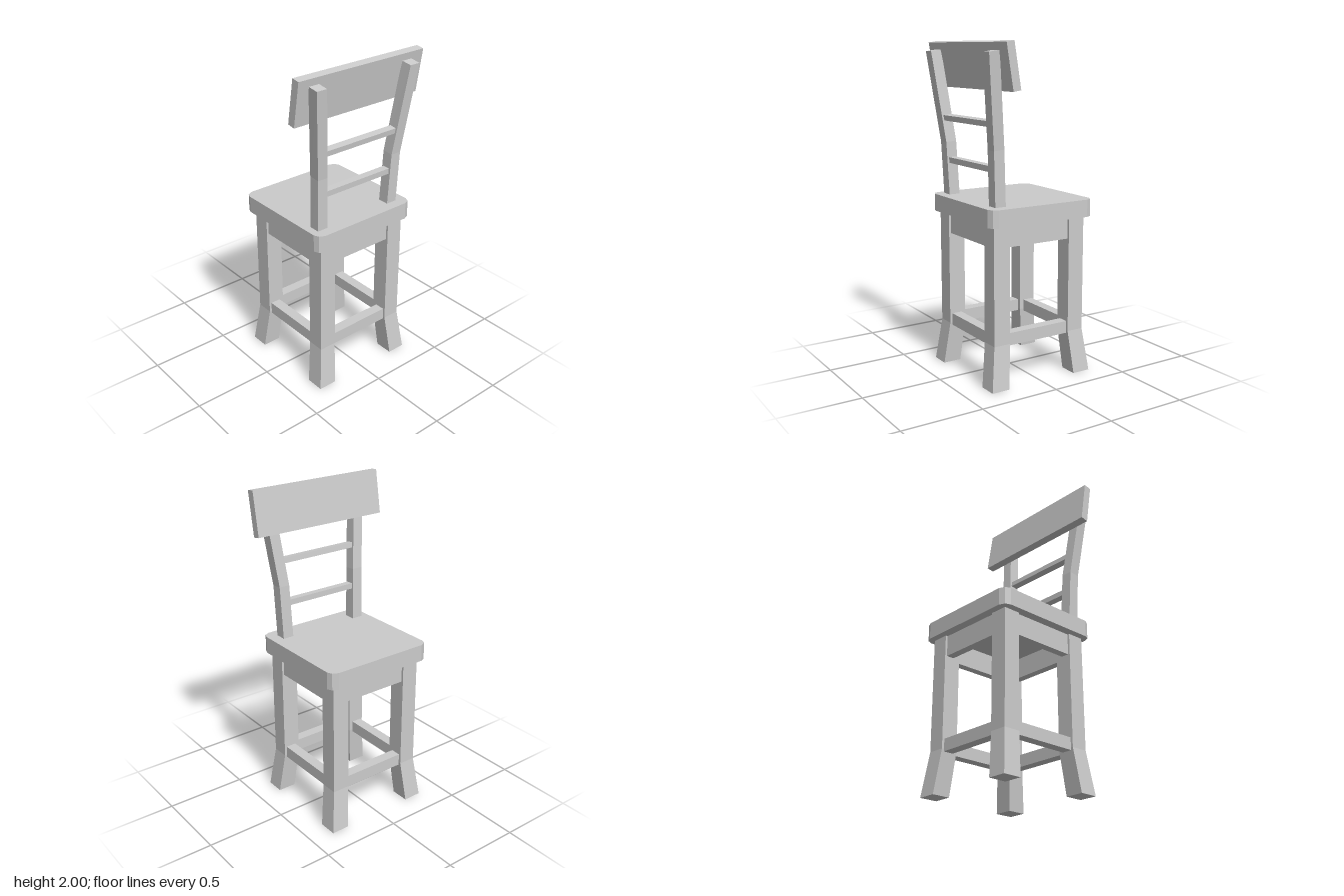
import * as THREE from 'three';

const material = new THREE.MeshStandardMaterial({ color: 0xcccccc, flatShading: true });

// Square bar lofted through rings of [centre x, y, centre z, width, drop towards +z]
function bar(rings) {
  const pos = [], index = [];
  for (const [x, y, z, w, drop = 0] of rings) {
    for (const [sx, sz] of [[-1, 1], [1, 1], [1, -1], [-1, -1]]) {
      pos.push(x + sx * w / 2, y - sz * drop, z + sz * w / 2);
    }
  }
  const quad = (a, b, c, d) => index.push(a, b, c, a, c, d);
  for (let r = 0; r < rings.length - 1; r++) {
    for (let i = 0; i < 4; i++) {
      const a = r * 4 + i, b = r * 4 + (i + 1) % 4;
      quad(a, b, b + 4, a + 4);
    }
  }
  const t = (rings.length - 1) * 4;
  quad(3, 2, 1, 0);
  quad(t, t + 1, t + 2, t + 3);
  const geo = new THREE.BufferGeometry();
  geo.setAttribute('position', new THREE.Float32BufferAttribute(pos, 3));
  geo.setIndex(index);
  const flat = geo.toNonIndexed();
  flat.computeVertexNormals();
  return flat;
}

export function createModel() {
  const model = new THREE.Group();
  const add = (name, geo, x = 0, y = 0, z = 0, tilt = 0) => {
    const mesh = new THREE.Mesh(geo, material);
    mesh.name = name;
    mesh.position.set(x, y, z);
    mesh.rotation.x = tilt;
    model.add(mesh);
  };
  const box = (name, w, h, d, x, y, z, tilt) =>
    add(name, new THREE.BoxGeometry(w, h, d), x, y, z, tilt);

  // Seat slab with clipped, faceted corners
  const hx = 0.358, hz = 0.356;
  const outline = [];
  for (const [sx, sz] of [[1, 1], [-1, 1], [-1, -1], [1, -1]]) {
    const corner = [[0, 0.047], [0.013, 0.016], [0.047, 0]]
      .map(([dx, dz]) => new THREE.Vector2(sx * (hx - dx), sz * (hz - dz)));
    outline.push(...(sx * sz > 0 ? corner : corner.reverse()));
  }
  const seat = new THREE.ExtrudeGeometry(new THREE.Shape(outline), { depth: 0.105, bevelEnabled: false });
  seat.rotateX(-Math.PI / 2);
  add('seat', seat, 0.004, 0.97, -0.005);

  // Legs with feet splayed outwards on both axes
  const cx = 0.005, cz = -0.003;
  for (const sx of [-1, 1]) {
    for (const sz of [-1, 1]) {
      const at = (r, y, w) => [cx + sx * r, y, cz + sz * r, w];
      add('leg', bar([at(0.291, 0, 0.115), at(0.262, 0.265, 0.107), at(0.262, 0.98, 0.107)]));
    }
  }

  // Aprons under the seat and stretchers near the feet, on all four sides
  for (const s of [-1, 1]) {
    box('apron', 0.44, 0.135, 0.05, cx, 0.9075, cz + s * 0.277);
    box('apron', 0.05, 0.135, 0.44, cx + s * 0.277, 0.9075, cz);
    box('stretcher', 0.44, 0.075, 0.065, cx, 0.2875, cz + s * 0.268);
    box('stretcher', 0.065, 0.075, 0.44, cx + s * 0.268, 0.2875, cz);
  }

  // Back posts, bent outwards and backwards above the lower rail
  for (const s of [-1, 1]) {
    add('backPost', bar([
      [-0.007 + s * 0.265, 1.04, 0.25, 0.07],
      [-0.007 + s * 0.275, 1.4, 0.265, 0.068, 0.003],
      [-0.007 + s * 0.332, 1.945, 0.329, 0.068, 0.005],
    ]));
  }

  // Thin rails between the posts
  box('lowerRail', 0.51, 0.035, 0.045, -0.007, 1.288, 0.26, 0.04);
  box('upperRail', 0.53, 0.033, 0.045, -0.007, 1.547, 0.283, 0.13);

  // Wide tilted top board
  box('topBoard', 0.888, 0.268, 0.05, -0.001, 1.864, 0.259, 0.165);

  return model;
}
